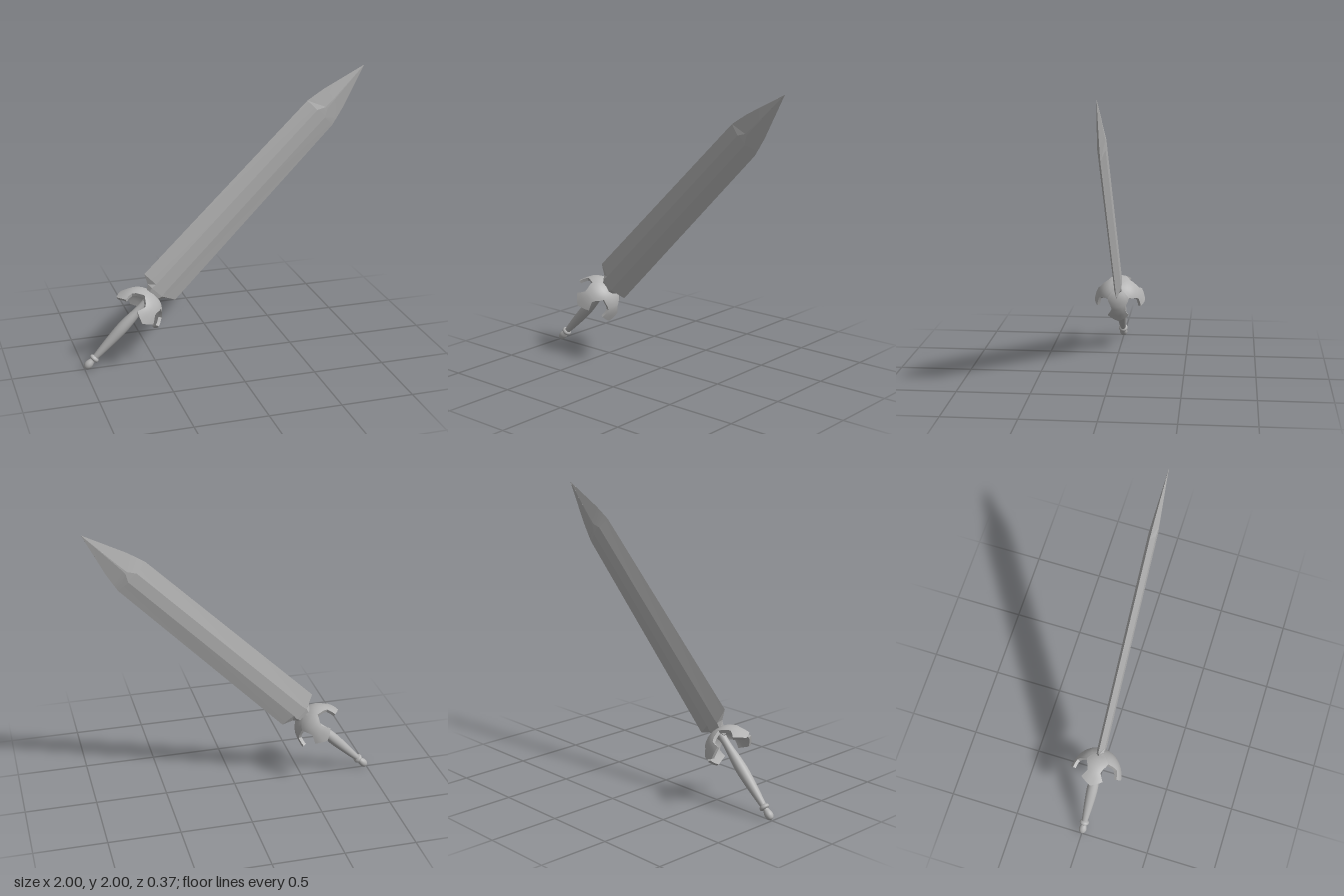
import * as THREE from 'three';
import { toCreasedNormals } from 'three/addons/utils/BufferGeometryUtils.js';

// Skins a stack of closed rings (bottom to top), each an even count of [x, y, z], with both ends closed.
function loft(rings, crease) {
  const n = rings[0].length;
  const index = [];
  const quad = (a, b, c, d) => index.push(a, b, c, a, c, d);
  for (let j = 0; j < rings.length - 1; j++) {
    for (let i = 0; i < n; i++) {
      const k = (i + 1) % n;
      quad(j * n + i, j * n + k, (j + 1) * n + k, (j + 1) * n + i);
    }
  }
  const top = (rings.length - 1) * n;
  for (let i = 0; i < n / 2 - 1; i++) {
    quad(n - 1 - i, n - 2 - i, i + 1, i);
    quad(top + i, top + i + 1, top + n - 2 - i, top + n - 1 - i);
  }
  const geo = new THREE.BufferGeometry();
  geo.setAttribute('position', new THREE.Float32BufferAttribute(rings.flat(2), 3));
  geo.setIndex(index);
  return toCreasedNormals(geo, crease);
}

// Six-sided blade: a flat central band with bevels down to sharp edges.
function bladeGeometry() {
  // distance along the sword, half width, half width of flat band, half thickness
  const rows = [
    [0.64, 0.045, 0.03, 0.012],
    [0.68, 0.048, 0.034, 0.02],
    [0.73, 0.082, 0.05, 0.026],
    [0.768, 0.152, 0.045, 0.026],
    [2.385, 0.131, 0.04, 0.026],
    [2.44, 0.119, 0.008, 0.026],
    [2.524, 0.099, 0.004, 0.021],
    [2.828, 0.0004, 0.0002, 0.0004],
  ];
  return loft(rows.map(([s, w, f, t]) => [
    [-w, s, 0], [-f, s, t], [f, s, t], [w, s, 0], [f, s, -t], [-f, s, -t],
  ]), 0.1);
}

// One quarter of the domed guard, running down into a flared, pointed prong.
function prongGeometry() {
  // radius, distance along the sword, half angle in degrees, extra point at the centre
  const rows = [
    [0.179, 0.564, 26, 0.04],
    [0.168, 0.59, 22, 0.018],
    [0.152, 0.62, 18, 0],
    [0.138, 0.64, 24, 0],
    [0.125, 0.655, 34, 0],
    [0.112, 0.668, 45, 0],
    [0.09, 0.684, 45, 0],
    [0.065, 0.696, 45, 0],
    [0.02, 0.705, 45, 0],
  ];
  const steps = 8, centre = 0.5, inner = 0.88;
  return loft(rows.map(([r, s, deg, point]) => {
    const ring = [];
    for (let i = 0; i <= steps; i++) {
      const u = (i / steps) * 2 - 1;
      const a = u * THREE.MathUtils.degToRad(deg);
      const p = point * (1 - Math.abs(u));
      const rr = r + p * 0.2;
      ring.push([rr * Math.sin(a), s - p, rr * Math.cos(a)]);
    }
    const back = ring.map(([x, y, z]) => [x * inner, centre + (y - centre) * inner, z * inner]);
    return ring.concat(back.reverse());
  }), 0.7);
}

// Turned part from [radius, height] points, smoothed by a spline.
function turned(points, segments) {
  const curve = new THREE.SplineCurve(points.map(([r, y]) => new THREE.Vector2(r, y)));
  const profile = curve.getPoints(segments);
  profile.forEach((p) => { p.x = Math.max(p.x, 0); });
  return new THREE.LatheGeometry(profile, 24);
}

export function createModel() {
  const steel = new THREE.MeshStandardMaterial({ color: 0xb2b2b2 });
  steel.name = 'steel';

  const model = new THREE.Group();
  model.name = 'sword';
  const sword = new THREE.Group();
  sword.name = 'swordAlongDiagonal';
  model.add(sword);

  const add = (name, geometry, parent = sword) => {
    const mesh = new THREE.Mesh(geometry, steel);
    mesh.name = name;
    parent.add(mesh);
    return mesh;
  };

  add('blade', bladeGeometry());

  // Four prongs make up the guard
  const guard = new THREE.Group();
  guard.name = 'guard';
  sword.add(guard);
  const prong = prongGeometry();
  for (let i = 0; i < 4; i++) {
    add('guardProng' + (i + 1), prong, guard).rotation.y = (i * Math.PI) / 2;
  }

  // Handle
  add('pommel', turned([
    [0, 0.004], [0.017, 0.01], [0.027, 0.03], [0.027, 0.052], [0.02, 0.076], [0.017, 0.09],
  ], 20));
  add('collar', turned([
    [0.015, 0.082], [0.03, 0.088], [0.034, 0.098], [0.03, 0.108], [0.02, 0.116],
  ], 16));
  add('grip', turned([
    [0.02, 0.105], [0.024, 0.14], [0.031, 0.22], [0.038, 0.32], [0.04, 0.39],
    [0.036, 0.47], [0.029, 0.54], [0.027, 0.6], [0.03, 0.69],
  ], 32));

  // Lay the sword along the diagonal, pommel low on the right side, tip up on the left
  sword.rotation.z = -Math.PI / 4;
  sword.position.set(-1, 0, 0);
  return model;
}
